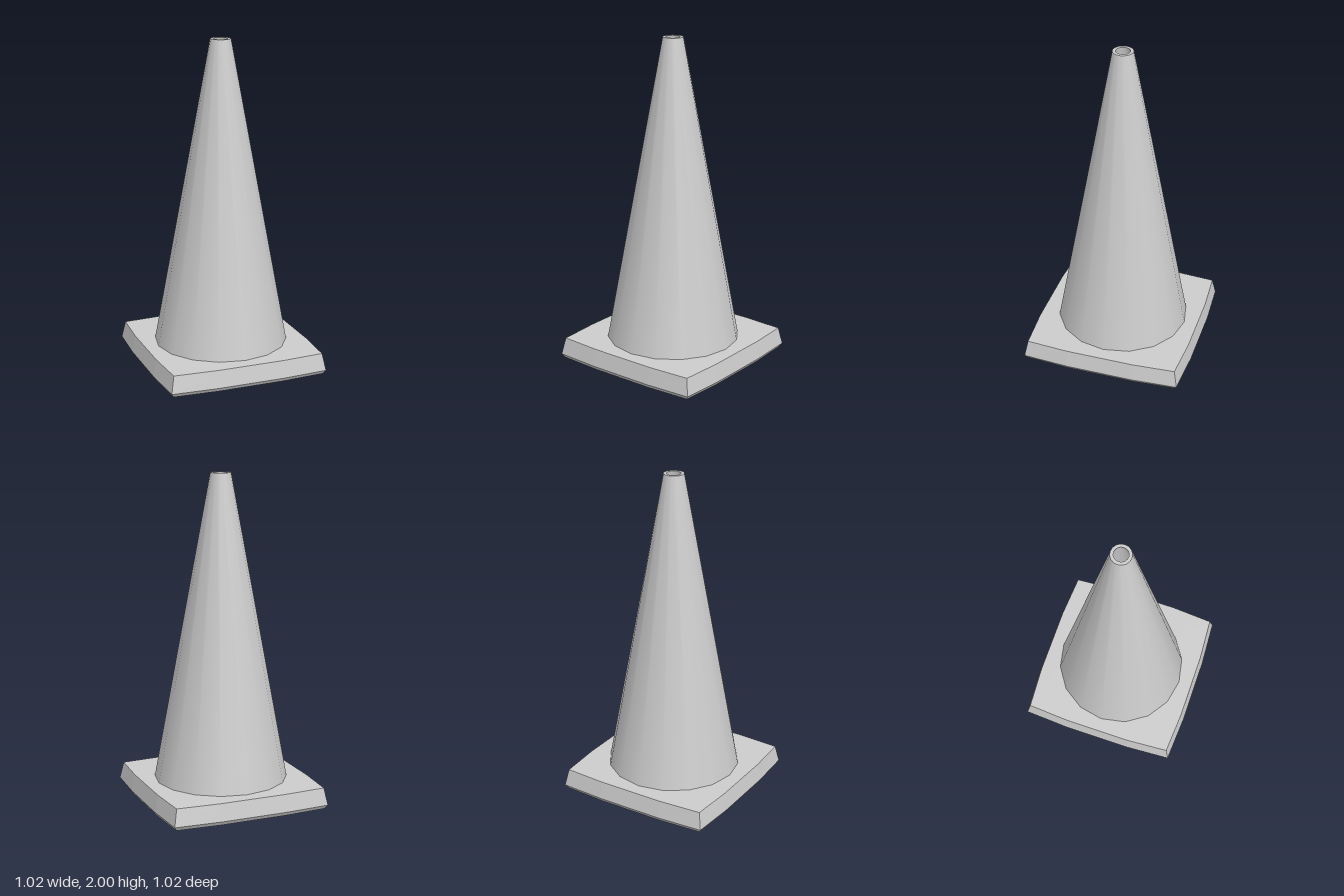
import * as THREE from 'three';

const SIDES = 16;

// Bowed square outline: c = corner, e = middle of each edge, counter-clockwise
function outline(c, e) {
  const points = [];
  for (let k = 0; k < 4; k++) {
    for (const [x, y] of [[-c, -c], [-0.21, -e], [0.21, -e]]) {
      points.push(new THREE.Vector2(x, y).rotateAround(new THREE.Vector2(), k * Math.PI / 2));
    }
  }
  return points;
}

// Flat plate with a 16-sided hole
function plate(points, radius) {
  const shape = new THREE.Shape(points);
  const hole = [];
  for (let i = 0; i < SIDES; i++) {
    const a = -i / SIDES * Math.PI * 2;
    hole.push(new THREE.Vector2(Math.cos(a) * radius, Math.sin(a) * radius));
  }
  shape.holes.push(new THREE.Path(hole));
  return new THREE.ShapeGeometry(shape);
}

// Flat-faced walls joining stacked outlines
function walls(rings) {
  const pos = [];
  for (let r = 0; r < rings.length - 1; r++) {
    const [lo, hi] = [rings[r], rings[r + 1]];
    const n = lo.points.length;
    for (let i = 0; i < n; i++) {
      const j = (i + 1) % n;
      const at = (ring, k) => [ring.points[k].x, ring.y, -ring.points[k].y];
      const [a, b, c, d] = [at(lo, i), at(lo, j), at(hi, j), at(hi, i)];
      pos.push(...a, ...b, ...c, ...a, ...c, ...d);
    }
  }
  const geometry = new THREE.BufferGeometry();
  geometry.setAttribute('position', new THREE.Float32BufferAttribute(pos, 3));
  geometry.computeVertexNormals();
  return geometry;
}

export function createModel() {
  const model = new THREE.Group();
  model.name = 'trafficCone';
  const grey = new THREE.MeshStandardMaterial({ color: 0xcccccc });
  grey.name = 'light grey';

  const add = (name, geometry, parent) => {
    const mesh = new THREE.Mesh(geometry, grey);
    mesh.name = name;
    parent.add(mesh);
    return mesh;
  };
  const lathe = (...profile) =>
    new THREE.LatheGeometry(profile.map(([r, y]) => new THREE.Vector2(r, y)), SIDES);

  // Base: chamfered at the bottom, tapering slightly upwards
  const base = new THREE.Group();
  base.name = 'base';
  model.add(base);
  const rings = [
    { y: 0, points: outline(0.478, 0.495) },
    { y: 0.025, points: outline(0.494, 0.511) },
    { y: 0.13, points: outline(0.474, 0.491) },
  ];
  add('baseSides', walls(rings), base);
  add('baseTop', plate(rings[2].points, 0.408).rotateX(-Math.PI / 2), base).position.y = 0.13;
  add('baseUnderside', plate(rings[0].points, 0.39).rotateX(Math.PI / 2), base);

  // Hollow cone, open at both ends
  const cone = new THREE.Group();
  cone.name = 'cone';
  model.add(cone);
  add('coneOuterWall', lathe([0.408, 0.13], [0.062, 2]), cone);
  add('coneRim', lathe([0.062, 2], [0.043, 2]), cone);
  add('coneInnerWall', lathe([0.043, 2], [0.386, 0.13], [0.39, 0]), cone);

  return model;
}
